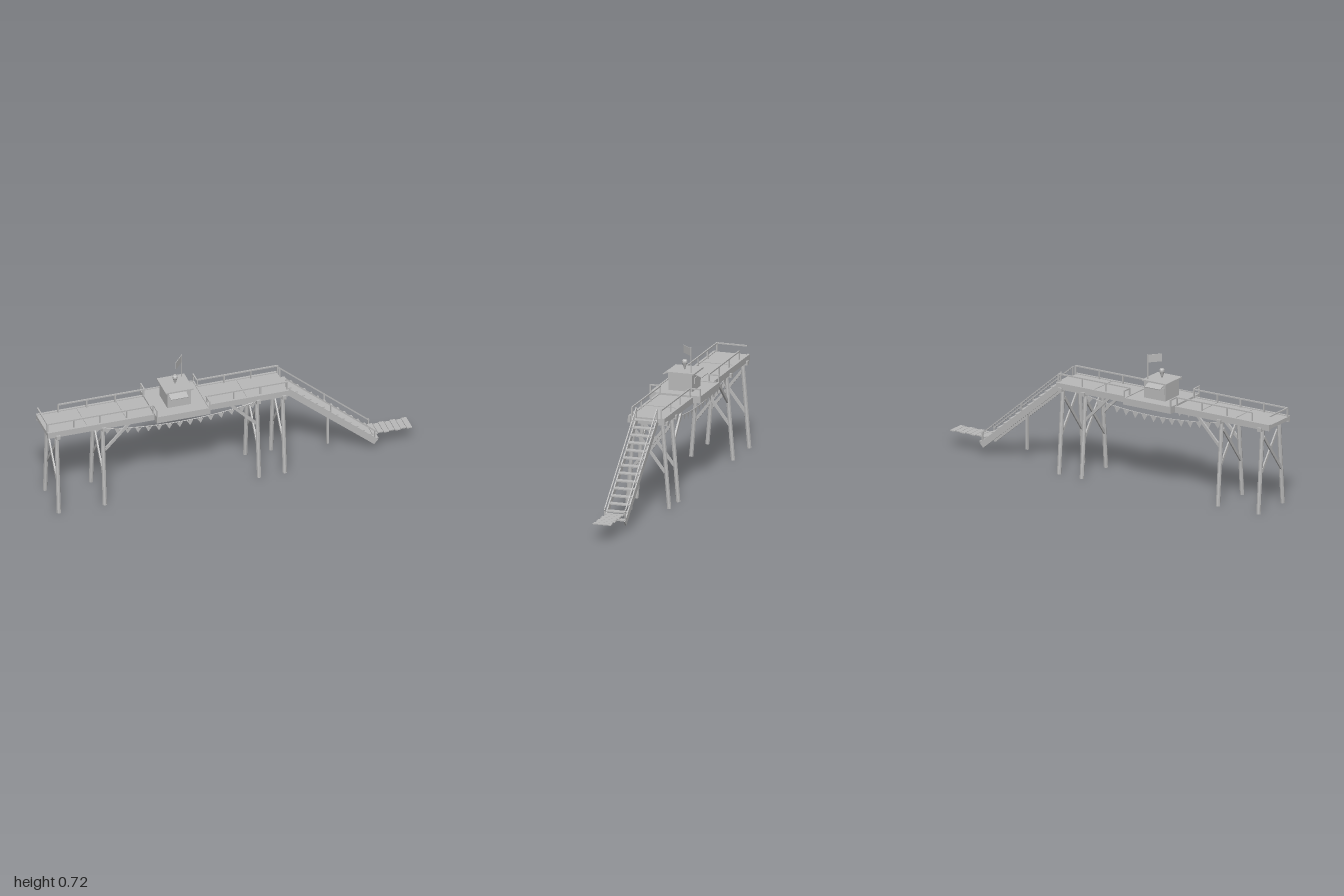
import * as THREE from 'three';

export function createModel() {
  const model = new THREE.Group();
  const grey = new THREE.MeshStandardMaterial({ color: 0xb8b8b8, flatShading: true });
  grey.name = 'weathered grey';
  const greyThin = new THREE.MeshStandardMaterial({ color: 0xb8b8b8, side: THREE.DoubleSide });
  greyThin.name = 'grey cloth';

  const group = (name) => {
    const g = new THREE.Group();
    g.name = name;
    model.add(g);
    return g;
  };
  const add = (parent, name, geometry, material = grey) => {
    const m = new THREE.Mesh(geometry, material);
    m.name = name;
    parent.add(m);
    return m;
  };
  // box given by its min and max on each axis
  const box = (parent, name, x0, x1, y0, y1, z0, z1) => {
    const m = add(parent, name, new THREE.BoxGeometry(x1 - x0, y1 - y0, z1 - z0));
    m.position.set((x0 + x1) / 2, (y0 + y1) / 2, (z0 + z1) / 2);
    return m;
  };
  // straight timber between two points, w wide and h deep
  const bar = (parent, name, a, b, w, h = w) => {
    const p = new THREE.Vector3(...a), q = new THREE.Vector3(...b);
    const m = add(parent, name, new THREE.BoxGeometry(w, h, p.distanceTo(q)));
    m.position.copy(p).add(q).multiplyScalar(0.5);
    m.lookAt(q);
    return m;
  };
  // round post between two points
  const pole = (parent, name, a, b, r) => {
    const p = new THREE.Vector3(...a), q = new THREE.Vector3(...b);
    const m = add(parent, name, new THREE.CylinderGeometry(r, r, p.distanceTo(q), 8));
    m.position.copy(p).add(q).multiplyScalar(0.5);
    m.quaternion.setFromUnitVectors(new THREE.Vector3(0, 1, 0), q.sub(p).normalize());
    return m;
  };

  // walkway
  const deck = group('walkway');
  box(deck, 'deckFloor', -1, 0.31, 0.466, 0.486, -0.088, 0.088);
  for (const s of [-1, 1]) bar(deck, 'sideBeam', [-1, 0.473, s * 0.093], [0.315, 0.473, s * 0.093], 0.013, 0.034);
  for (const x of [-0.78, -0.565, 0.09]) box(deck, 'floorBatten', x - 0.003, x + 0.003, 0.485, 0.489, -0.088, 0.088);

  // wider middle platform
  const platform = group('platform');
  const px0 = -0.42, px1 = -0.127;
  box(platform, 'platformFloor', px0, px1, 0.464, 0.492, -0.138, 0.138);
  for (const s of [-1, 1]) bar(platform, 'platformEdge', [px0, 0.478, s * 0.136], [px1, 0.478, s * 0.136], 0.008, 0.037);
  for (const x of [px0 + 0.004, px1 - 0.004]) bar(platform, 'platformEnd', [x, 0.478, -0.14], [x, 0.478, 0.14], 0.008, 0.037);

  // trestles: splayed legs, cap beam and cross braces
  for (const x of [-0.945, -0.695, 0.145, 0.285]) {
    const t = group('trestle');
    box(t, 'capBeam', x - 0.011, x + 0.011, 0.446, 0.467, -0.11, 0.11);
    for (const s of [-1, 1]) {
      pole(t, 'leg', [x, 0.0012, s * 0.115], [x, 0.452, s * 0.078], 0.0115);
      bar(t, 'crossBrace', [x + s * 0.005, 0.41, s * 0.072], [x + s * 0.005, 0.195, -s * 0.095], 0.008, 0.015);
    }
  }
  // knee braces under the long span
  const knees = group('kneeBraces');
  for (const s of [-1, 1]) {
    bar(knees, 'kneeBrace', [-0.695, 0.31, s * 0.087], [-0.545, 0.46, s * 0.082], 0.01, 0.015);
    bar(knees, 'kneeBrace', [0.145, 0.31, s * 0.087], [-0.005, 0.46, s * 0.082], 0.01, 0.015);
  }

  // handrails
  const rails = group('handrails');
  const railY = 0.533, rz = 0.081, t = 0.007;
  const railRun = (x0, x1, z, n) => {
    bar(rails, 'rail', [x0, railY, z], [x1, railY, z], t);
    for (let i = 0; i <= n; i++) {
      const x = x0 + (x1 - x0) * i / n;
      box(rails, 'railPost', x - t / 2, x + t / 2, 0.48, railY, z - t / 2, z + t / 2);
    }
  };
  railRun(-0.996, px0, rz, 4);
  railRun(-0.885, px0, -rz, 3);
  for (const s of [-1, 1]) {
    railRun(px1, 0.31, s * rz, 3);
    for (const x of [px0 + 0.004, px1 - 0.004]) {
      bar(rails, 'platformRail', [x, railY, s * rz], [x, railY, s * 0.14], t);
      box(rails, 'platformPost', x - t / 2, x + t / 2, 0.48, railY, s * 0.1365 - t / 2, s * 0.1365 + t / 2);
    }
  }
  bar(rails, 'endRail', [-0.996, railY, -0.085], [-0.996, railY, 0.085], t);

  // kiosk with awnings and counters
  const kiosk = group('kiosk');
  box(kiosk, 'kioskBody', -0.338, -0.208, 0.49, 0.584, -0.065, 0.065);
  box(kiosk, 'kioskRoof', -0.35, -0.2, 0.583, 0.591, -0.076, 0.076);
  for (const s of [-1, 1]) {
    bar(kiosk, 'awning', [-0.285, 0.582, s * 0.064], [-0.285, 0.565, s * 0.107], 0.095, 0.004);
    box(kiosk, 'hatch', -0.333, -0.238, 0.528, 0.56, s * 0.067 - 0.002, s * 0.067 + 0.002);
  }

  // cone ornament on the roof
  const cone = add(kiosk, 'ornamentCone', new THREE.CylinderGeometry(0.0125, 0.002, 0.034, 10));
  cone.position.set(-0.275, 0.607, 0);
  const scoop = add(kiosk, 'ornamentTop', new THREE.LatheGeometry(
    [[0, 0.62], [0.011, 0.62], [0.014, 0.626], [0.014, 0.637], [0.009, 0.644], [0, 0.645]].map((p) => new THREE.Vector2(...p)), 10));
  scoop.position.x = -0.275;

  // flag
  const flag = group('flag');
  pole(flag, 'flagPole', [-0.222, 0.588, -0.053], [-0.222, 0.725, -0.053], 0.003);
  bar(flag, 'flagCloth', [-0.222, 0.702, -0.053], [-0.272, 0.702, 0.005], 0.003, 0.042);

  // bunting hung between the inner trestles
  const sag = (x) => 0.406 + 0.04 * ((x + 0.275) / 0.42) ** 2;
  const pennant = new THREE.ShapeGeometry(new THREE.Shape(
    [[-0.02, 0], [0, -0.034], [0.02, 0]].map((p) => new THREE.Vector2(...p))));
  for (const z of [-0.08, 0.08]) {
    const bunting = group('bunting');
    const pts = [];
    for (let i = 0; i <= 16; i++) {
      const x = -0.695 + 0.84 * i / 16;
      pts.push(new THREE.Vector3(x, sag(x), z));
    }
    add(bunting, 'buntingRope', new THREE.TubeGeometry(new THREE.CatmullRomCurve3(pts), 32, 0.0025, 5));
    for (let i = 0; i < 15; i++) {
      const x = -0.667 + 0.056 * i;
      const p = add(bunting, 'pennant', pennant, greyThin);
      p.position.set(x, sag(x), z);
      p.rotation.z = Math.atan(0.08 * (x + 0.275) / 0.1764);
    }
  }

  // staircase
  const stairs = group('stairs');
  const slope = (x) => 0.464 - 0.842 * (x - 0.31);
  for (const s of [-1, 1]) {
    const z = s * 0.0565;
    bar(stairs, 'stringer', [0.305, slope(0.305), z], [0.8, slope(0.8), z], 0.007, 0.032);
    bar(stairs, 'stairRail', [0.31, 0.535, z], [0.8, 0.114, z], 0.006);
    for (const x of [0.313, 0.555, 0.795]) {
      box(stairs, 'stairPost', x - 0.003, x + 0.003, slope(x), slope(x) + 0.07, z - 0.003, z + 0.003);
    }
  }
  for (let i = 0; i < 14; i++) {
    const y = 0.474 - 0.0311 * i, x = 0.322 + 0.0365 * i;
    box(stairs, 'tread', x - 0.018, x + 0.018, y - 0.003, y + 0.003, -0.056, 0.056);
  }
  box(stairs, 'stairSupport', 0.549, 0.561, 0.057, 0.285, -0.0075, 0.0075);

  // plank landing at the foot
  const landing = group('landing');
  for (let i = 0; i < 7; i++) {
    const x = 0.784 + 0.0312 * i, w = i % 2 ? 0.043 : 0.05;
    box(landing, 'plank', x, x + 0.0285, 0.092, 0.097, -w, w);
  }
  for (const z of [-0.032, 0.032]) bar(landing, 'landingRope', [0.784, 0.094, z], [0.995, 0.094, z], 0.003);

  return model;
}
